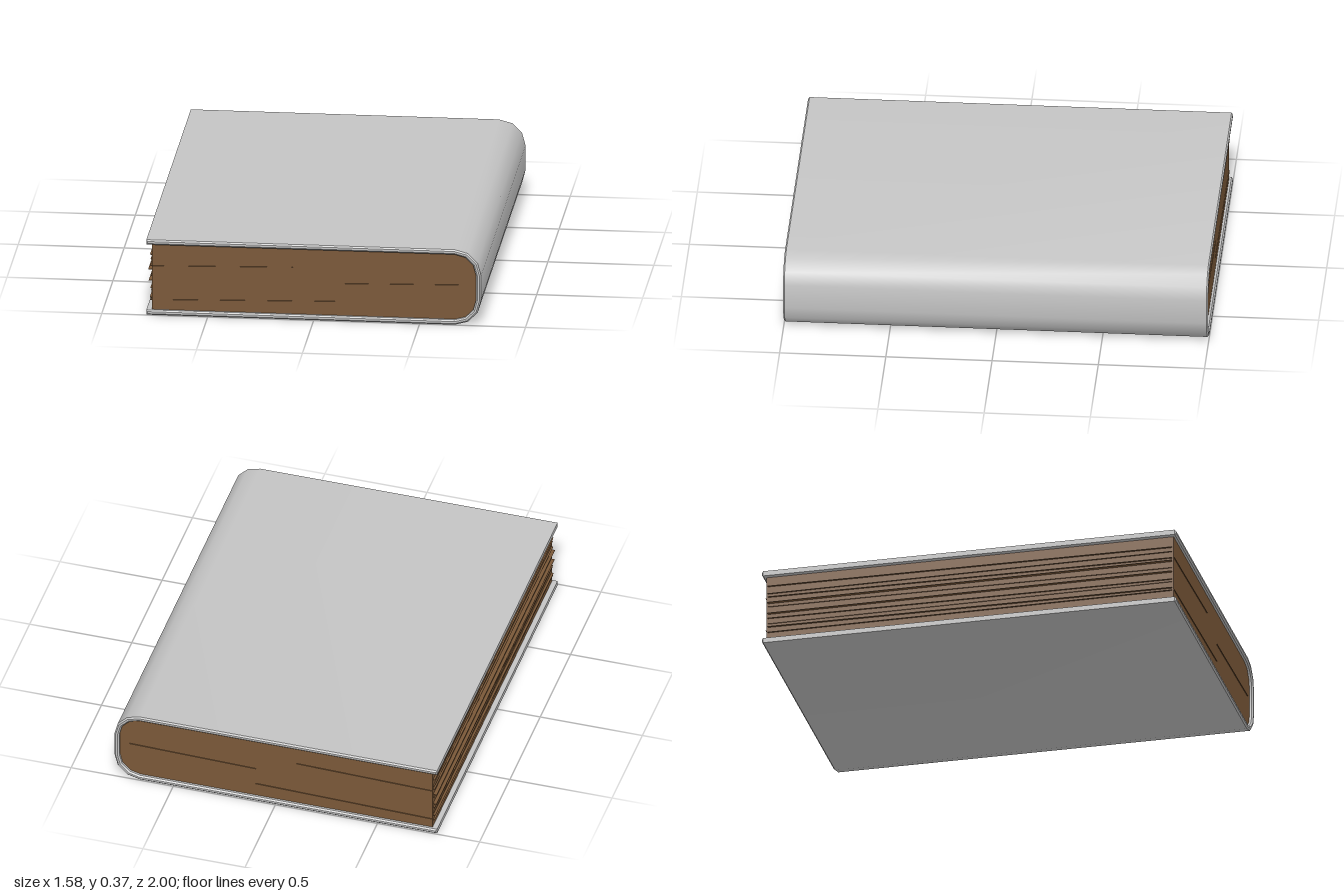
import * as THREE from 'three';
import { toCreasedNormals } from 'three/addons/utils/BufferGeometryUtils.js';

const HEIGHT = 0.37;
const MID = HEIGHT / 2;

// One side of the rounded spine, bottom edge first, as [x, distance from mid-height]
function spineProfile(left, right, half, corner) {
  const pts = [[left, -half]];
  const steps = 3;
  for (let i = 0; i <= steps; i++) {
    const a = (i / steps) * Math.PI / 2;
    pts.push([right - corner + Math.sin(a) * corner, -half + corner - Math.cos(a) * corner]);
  }
  const upper = pts.map(([x, y]) => [x, -y]).reverse();
  return [...pts, ...upper].map(([x, y]) => new THREE.Vector2(x, y + MID));
}

function extrudeAlongZ(points, depth, bevel) {
  const geo = new THREE.ExtrudeGeometry(new THREE.Shape(points), {
    depth: depth - bevel * 2,
    bevelEnabled: bevel > 0,
    bevelSize: bevel,
    bevelThickness: bevel,
    bevelOffset: -bevel,
    bevelSegments: 1,
  });
  geo.translate(0, 0, -depth / 2 + bevel);
  return toCreasedNormals(geo, 0.7);
}

export function createModel() {
  const book = new THREE.Group();
  book.name = 'book';
  const coverMaterial = new THREE.MeshStandardMaterial({ color: 0xc4c4c4 });
  coverMaterial.name = 'cover grey';
  const paperMaterial = new THREE.MeshStandardMaterial({ color: 0x7a5838 });
  paperMaterial.name = 'paper brown';

  const add = (name, geometry, material, parent = book) => {
    const mesh = new THREE.Mesh(geometry, material);
    mesh.name = name;
    parent.add(mesh);
    return mesh;
  };

  // Boards and rounded spine in one wrap-around piece
  const outer = spineProfile(-0.79, 0.79, MID, 0.125);
  const inner = spineProfile(-0.79, 0.766, MID - 0.024, 0.101).reverse();
  add('cover', extrudeAlongZ([...outer, ...inner], 2, 0.007), coverMaterial);

  // Page block, set back from the boards on three sides
  const block = spineProfile(-0.765, 0.77, MID - 0.022, 0.105);
  add('pageBlock', extrudeAlongZ(block, 1.965, 0), paperMaterial);

  // Loose sheets showing at the fore edge
  const sheets = new THREE.Group();
  sheets.name = 'looseSheets';
  book.add(sheets);
  const foreEdge = [
    [0.065, 0.008], [0.085, 0.011], [0.11, 0.005], [0.13, 0.008], [0.16, 0.016],
    [0.19, 0.006], [0.215, 0.018], [0.24, 0.009], [0.265, 0.007], [0.295, 0.01],
  ];
  foreEdge.forEach(([y, out], i) => {
    const sheet = add('foreEdgeSheet', new THREE.BoxGeometry(0.05 + out, 0.002, 1.95), paperMaterial, sheets);
    sheet.position.set(-0.74 - out / 2, y, 0);
    sheet.rotation.x = (i % 2 ? 1 : -1) * 0.004;
  });

  // Slightly tilted sheets showing at both ends of the block
  const ends = [[-0.765, 0.072, 0.1, 0.092], [-0.765, 0.238, -0.1, 0.254], [0.1, 0.18, 0.72, 0.194]];
  for (const [x0, y0, x1, y1] of ends) {
    const length = Math.hypot(x1 - x0, y1 - y0);
    const sheet = add('endSheet', new THREE.BoxGeometry(length, 0.002, 1.973), paperMaterial, sheets);
    sheet.position.set((x0 + x1) / 2, (y0 + y1) / 2, 0);
    sheet.rotation.z = Math.atan2(y1 - y0, x1 - x0);
  }
  return book;
}
